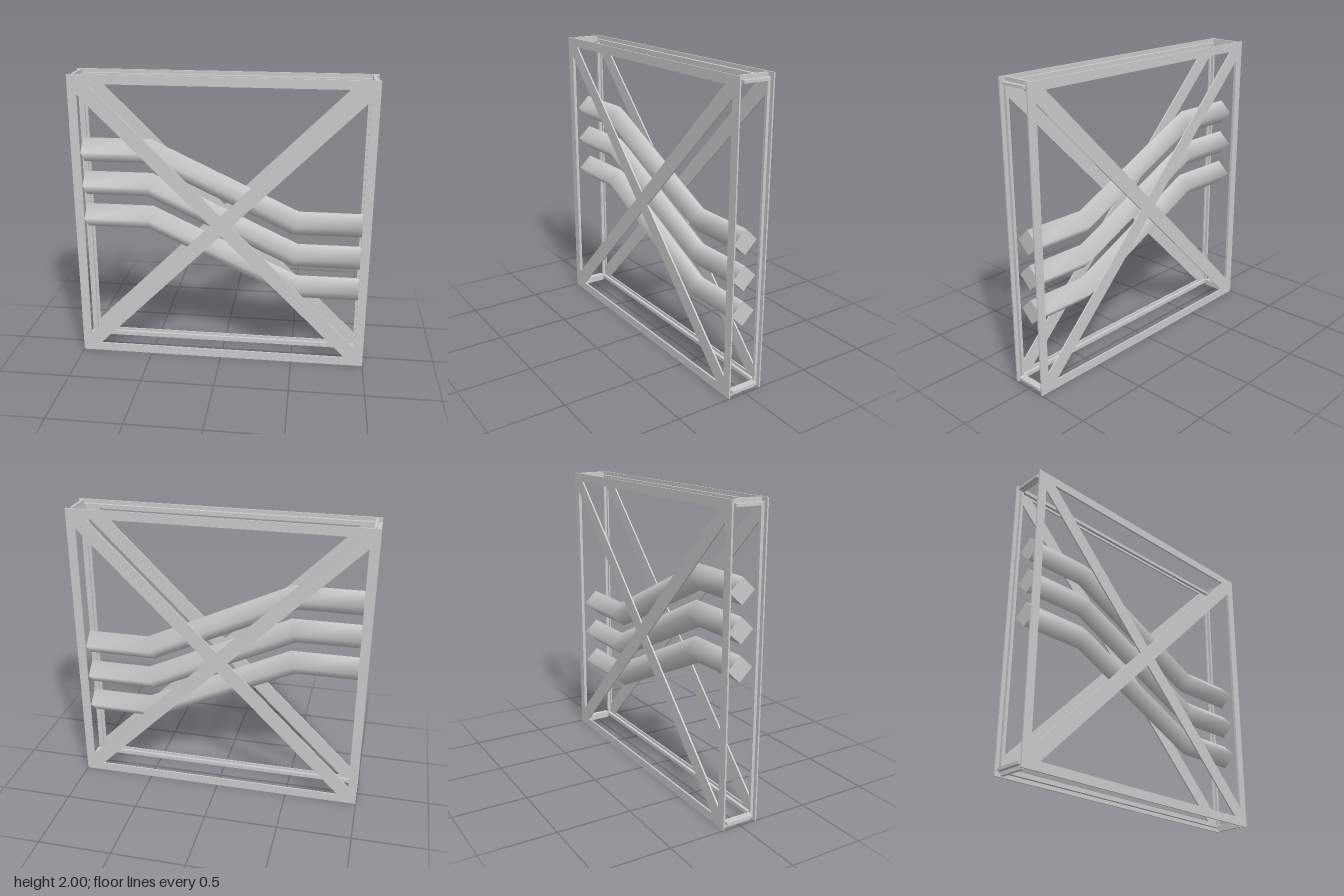
import * as THREE from 'three';

const grey = new THREE.MeshStandardMaterial({ color: 0xcccccc });

function polygon(points, Type = THREE.Shape) {
  return new Type(points.map(([x, y]) => new THREE.Vector2(x, y)));
}

function box(name, w, h, d, x, y, z) {
  const mesh = new THREE.Mesh(new THREE.BoxGeometry(w, h, d), grey);
  mesh.name = name;
  mesh.position.set(x, y, z);
  return mesh;
}

// Thin square panel with four triangular openings, leaving a border and an X brace
function panelGeometry() {
  const shape = polygon([[-1, -1], [1, -1], [1, 1], [-1, 1]]);
  for (let i = 0; i < 4; i++) {
    const a = i * Math.PI / 2, c = Math.cos(a), s = Math.sin(a);
    const triangle = [[0.94, -0.87], [0.94, 0.87], [0.07, 0]];
    shape.holes.push(polygon(triangle.map(([x, y]) => [x * c - y * s, x * s + y * c]), THREE.Path));
  }
  return new THREE.ExtrudeGeometry(shape, { depth: 0.01, bevelEnabled: false });
}

// Diamond-section pipe swept along a bent path in the xy plane, mitred at the bends
function pipeGeometry(path, ry, rz) {
  const pos = [], idx = [];
  const rings = path.map(([x, y], i) => {
    const prev = path[Math.max(i - 1, 0)], next = path[Math.min(i + 1, path.length - 1)];
    const a0 = Math.atan2(y - prev[1], x - prev[0]);
    const a1 = Math.atan2(next[1] - y, next[0] - x);
    const start = i === 0 ? a1 : a0, end = i === path.length - 1 ? a0 : a1;
    const mid = (start + end) / 2, r = ry / Math.cos((end - start) / 2);
    const nx = -Math.sin(mid) * r, ny = Math.cos(mid) * r;
    return [[x + nx, y + ny, 0], [x, y, rz], [x - nx, y - ny, 0], [x, y, -rz]];
  });
  rings.forEach((ring, i) => {
    pos.push(...ring.flat());
    if (i === rings.length - 1) return;
    for (let k = 0; k < 4; k++) {
      const a = i * 4 + k, b = i * 4 + (k + 1) % 4;
      idx.push(a, b, a + 4, b, b + 4, a + 4);
    }
  });
  // End caps have their own corners so they stay crisp
  const s = rings.length * 4, e = s + 4;
  pos.push(...rings[0].flat(), ...rings[rings.length - 1].flat());
  idx.push(s, s + 2, s + 1, s, s + 3, s + 2, e, e + 1, e + 2, e, e + 2, e + 3);
  const geo = new THREE.BufferGeometry();
  geo.setAttribute('position', new THREE.Float32BufferAttribute(pos, 3));
  geo.setIndex(idx);
  geo.computeVertexNormals();
  return geo;
}

export function createModel() {
  const model = new THREE.Group();
  model.name = 'bracedPipeFrame';

  // Front and back braced panels, each with a rib behind its border
  const panel = panelGeometry();
  for (const side of [1, -1]) {
    const frame = new THREE.Group();
    frame.name = side > 0 ? 'frontFrame' : 'backFrame';
    const face = new THREE.Mesh(panel, grey);
    face.name = 'bracedPanel';
    face.position.set(0, 1, side > 0 ? 0.115 : -0.125);
    frame.add(face);
    const z = side * 0.105;
    for (const s of [1, -1]) {
      frame.add(box(s > 0 ? 'topRib' : 'bottomRib', 1.95, 0.018, 0.02, 0, 1 + s * 0.966, z));
      frame.add(box(s > 0 ? 'leftRib' : 'rightRib', 0.018, 1.95, 0.02, s * 0.966, 1, z));
    }
    model.add(frame);
  }

  // Cross-shaped spacers joining the two frames at the corners
  for (const sx of [1, -1]) for (const sy of [1, -1]) {
    const spacer = new THREE.Group();
    spacer.name = 'cornerSpacer';
    spacer.add(box('flatWeb', 0.045, 0.018, 0.19, sx * 0.9775, 1 + sy * 0.966, 0));
    spacer.add(box('uprightWeb', 0.018, 0.045, 0.19, sx * 0.966, 1 + sy * 0.9775, 0));
    model.add(spacer);
  }

  // Three parallel pipes stepping down from right to left
  const pipe = pipeGeometry([[-0.95, 0.235], [-0.5, 0.235], [0.5, -0.235], [0.95, -0.235]], 0.084, 0.088);
  for (let i = 0; i < 3; i++) {
    const mesh = new THREE.Mesh(pipe, grey);
    mesh.name = 'pipe';
    mesh.position.y = 1.237 - 0.235 * i;
    model.add(mesh);
  }
  return model;
}
